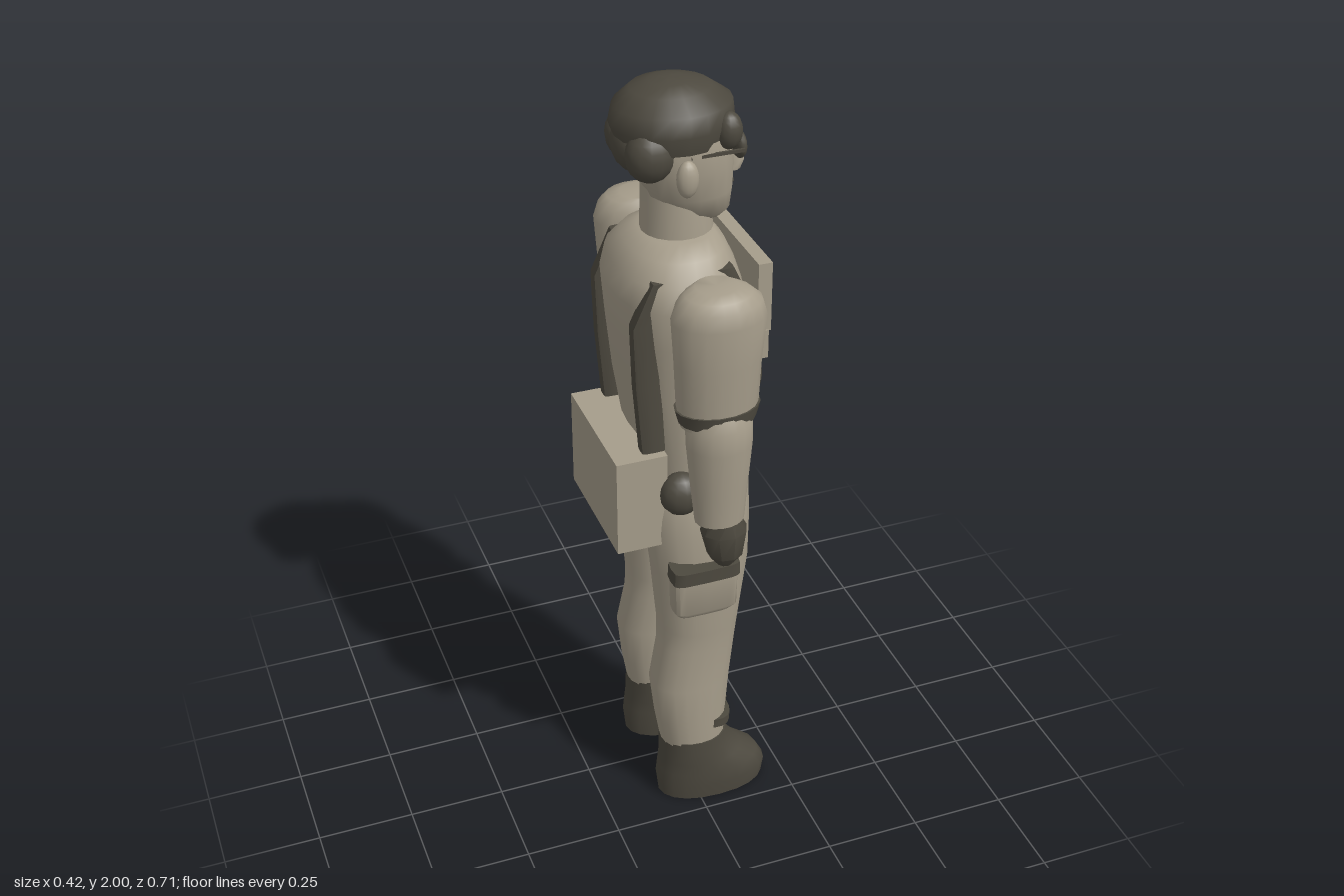
import * as THREE from 'three';
import { toCreasedNormals } from 'three/addons/utils/BufferGeometryUtils.js';

const cloth = new THREE.MeshStandardMaterial({ color: 0xa69d8b });
cloth.name = 'light tan';
const dark = new THREE.MeshStandardMaterial({ color: 0x4d493f });
dark.name = 'dark olive';

// Skin of elliptical sections, bottom to top: [y, xMin, xMax, zMin, zMax]; pow > 2 is boxier
function loft(rows, sides = 18, pow = 2, crease = 0.75) {
  const bend = v => Math.sign(v) * Math.pow(Math.abs(v), 2 / pow);
  const rings = rows.map(([y, x0, x1, z0, z1]) => Array.from({ length: sides }, (_, i) => {
    const a = (i / sides) * Math.PI * 2;
    return [(x0 + x1) / 2 + bend(Math.cos(a)) * (x1 - x0) / 2, y,
      (z0 + z1) / 2 + bend(Math.sin(a)) * (z1 - z0) / 2];
  }));
  const centre = r => [(r[1] + r[2]) / 2, r[0], (r[3] + r[4]) / 2];
  const lo = centre(rows[0]), hi = centre(rows.at(-1)), top = rings.at(-1);
  const pos = [];
  for (let j = 0; j < sides; j++) {
    const k = (j + 1) % sides;
    for (let i = 0; i < rings.length - 1; i++) {
      const [a, b, c, d] = [rings[i][j], rings[i][k], rings[i + 1][j], rings[i + 1][k]];
      pos.push(...a, ...c, ...b, ...b, ...c, ...d);
    }
    pos.push(...lo, ...rings[0][j], ...rings[0][k], ...hi, ...top[k], ...top[j]);
  }
  const g = new THREE.BufferGeometry();
  g.setAttribute('position', new THREE.Float32BufferAttribute(pos, 3));
  return toCreasedNormals(g, crease);
}

export function createModel() {
  const root = new THREE.Group();
  root.name = 'figure';

  const add = (name, geo, mat, x = 0, y = 0, z = 0, parent = root) => {
    const m = new THREE.Mesh(geo, mat);
    m.name = name;
    m.position.set(x, y, z);
    parent.add(m);
    return m;
  };
  const box = (w, h, d) => new THREE.BoxGeometry(w, h, d);
  const ball = (rx, ry, rz, n = 14) => new THREE.SphereGeometry(1, n, 10).scale(rx, ry, rz);
  // Section rows mirrored to either side of the body
  const side = (s, rows) => rows.map(([y, a, b, c, d]) => s > 0 ? [y, a, b, c, d] : [y, a, b, -d, -c]);

  // Torso, pelvis and belt
  add('torso', loft([
    [1.0, -0.11, 0.14, -0.19, 0.19], [1.1, -0.12, 0.13, -0.19, 0.19],
    [1.25, -0.145, 0.14, -0.188, 0.188], [1.4, -0.16, 0.15, -0.2, 0.2],
    [1.5, -0.168, 0.15, -0.205, 0.205], [1.56, -0.155, 0.13, -0.19, 0.19],
    [1.605, -0.12, 0.11, -0.15, 0.15], [1.63, -0.085, 0.09, -0.1, 0.1],
  ], 24, 2.3), cloth);
  add('pelvis', loft([
    [0.85, -0.07, 0.08, -0.06, 0.06], [0.9, -0.11, 0.13, -0.14, 0.14],
    [0.97, -0.12, 0.145, -0.19, 0.19], [1.03, -0.11, 0.15, -0.19, 0.19],
  ], 22, 2.3), cloth);
  add('frontFlap', loft([
    [0.84, 0.04, 0.135, -0.07, 0.07], [0.87, 0.04, 0.155, -0.095, 0.095],
    [1.015, 0.04, 0.165, -0.118, 0.118],
  ], 18, 3.5), cloth);
  add('belt', loft([
    [1.015, -0.11, 0.17, -0.195, 0.195], [1.07, -0.11, 0.17, -0.195, 0.195],
  ], 24, 2.4), dark);
  add('buckle', ball(0.015, 0.025, 0.035), cloth, 0.167, 1.042, 0);

  // Packs on chest and back
  add('chestPanel', box(0.035, 0.18, 0.3), cloth, 0.171, 1.48, 0);
  add('chestPanelLower', box(0.03, 0.075, 0.306), cloth, 0.167, 1.355, 0);
  add('panelSeam', box(0.004, 0.004, 0.27), dark, 0.182, 1.391, 0);
  add('backBox', box(0.13, 0.26, 0.35), cloth, -0.147, 0.98, 0);

  // Neck and head
  add('neck', loft([
    [1.58, -0.085, 0.095, -0.085, 0.085], [1.635, -0.082, 0.092, -0.083, 0.083],
    [1.75, -0.08, 0.07, -0.075, 0.075],
  ]), cloth);
  add('head', loft([
    [1.655, 0.04, 0.11, -0.045, 0.045], [1.68, -0.01, 0.13, -0.075, 0.075],
    [1.73, -0.075, 0.135, -0.098, 0.098], [1.8, -0.095, 0.135, -0.11, 0.11],
    [1.87, -0.11, 0.13, -0.112, 0.112], [1.94, -0.1, 0.11, -0.095, 0.095],
  ], 20, 2.3), cloth);
  add('nose', loft([
    [1.755, 0.115, 0.162, -0.024, 0.024], [1.775, 0.115, 0.172, -0.024, 0.024],
    [1.85, 0.115, 0.14, -0.011, 0.011],
  ], 10), cloth);
  add('mouth', ball(0.008, 0.008, 0.036, 10), dark, 0.132, 1.735, 0);
  add('glassesBridge', box(0.008, 0.008, 0.05), dark, 0.142, 1.845, 0);

  // Hair cap with locks
  add('hair', loft([
    [1.855, -0.135, 0.125, -0.116, 0.116], [1.9, -0.154, 0.14, -0.126, 0.126],
    [1.945, -0.145, 0.135, -0.118, 0.118], [1.98, -0.105, 0.085, -0.085, 0.085],
    [1.995, -0.06, 0.03, -0.045, 0.045], [2.0, -0.03, 0.0, -0.015, 0.015],
  ], 20, 2, 1), dark);
  add('backHair', ball(0.05, 0.06, 0.08), dark, -0.1, 1.85, 0);

  for (const s of [1, -1]) {
    const limb = new THREE.Group();
    limb.name = s > 0 ? 'sidePartsA' : 'sidePartsB';
    root.add(limb);
    const part = (name, geo, mat, x = 0, y = 0, z = 0) => add(name, geo, mat, x, y, z * s, limb);
    const skin = (name, rows, mat, sides, pow) => part(name, loft(side(s, rows), sides, pow), mat);

    // Face sides
    part('ear', ball(0.027, 0.045, 0.02), cloth, -0.012, 1.8, 0.118);
    part('lens', ball(0.016, 0.034, 0.036), dark, 0.136, 1.838, 0.054);
    part('glassesArm', box(0.13, 0.008, 0.006), dark, 0.065, 1.845, 0.107);
    part('backLock', ball(0.06, 0.065, 0.05), dark, -0.083, 1.85, 0.07);
    part('frontLock', ball(0.032, 0.045, 0.03), dark, 0.098, 1.89, 0.088);

    // Arm
    skin('upperArm', [
      [1.25, -0.085, 0.095, 0.2, 0.338], [1.3, -0.095, 0.105, 0.2, 0.342],
      [1.42, -0.1, 0.11, 0.192, 0.35], [1.53, -0.108, 0.12, 0.19, 0.355],
      [1.57, -0.095, 0.108, 0.195, 0.35], [1.59, -0.075, 0.085, 0.205, 0.335],
      [1.6, -0.045, 0.055, 0.21, 0.305],
    ], cloth);
    skin('sleeveBand', [
      [1.262, -0.09, 0.1, 0.198, 0.343], [1.298, -0.1, 0.11, 0.196, 0.346],
    ], dark);
    skin('forearm', [
      [0.985, -0.055, 0.068, 0.242, 0.34], [1.08, -0.065, 0.075, 0.232, 0.348],
      [1.2, -0.075, 0.085, 0.216, 0.358], [1.26, -0.075, 0.085, 0.21, 0.358],
      [1.29, -0.06, 0.07, 0.225, 0.345],
    ], cloth);
    skin('hand', [
      [0.843, 0.005, 0.045, 0.265, 0.305], [0.875, -0.02, 0.07, 0.245, 0.328],
      [0.945, -0.038, 0.08, 0.235, 0.338], [1.0, -0.02, 0.05, 0.25, 0.328],
    ], dark, 9);

    // Leg
    skin('leg', [
      [0.17, -0.085, 0.085, 0.055, 0.212], [0.26, -0.1, 0.088, 0.05, 0.216],
      [0.38, -0.113, 0.1, 0.045, 0.212], [0.5, -0.09, 0.115, 0.038, 0.208],
      [0.56, -0.088, 0.122, 0.032, 0.212], [0.75, -0.105, 0.145, 0.017, 0.226],
      [0.88, -0.12, 0.15, 0.008, 0.222], [0.97, -0.12, 0.15, 0.005, 0.207],
      [1.02, -0.105, 0.14, 0.01, 0.19],
    ], cloth, 20, 2.2);
    skin('shinBand', [
      [0.238, 0.0, 0.094, 0.058, 0.21], [0.264, 0.0, 0.096, 0.058, 0.21],
    ], dark, 18, 2.6);
    skin('boot', [
      [0, -0.095, 0.2, 0.055, 0.215], [0.045, -0.1, 0.206, 0.05, 0.22],
      [0.085, -0.095, 0.185, 0.05, 0.22], [0.12, -0.09, 0.135, 0.052, 0.218],
      [0.16, -0.088, 0.1, 0.05, 0.218], [0.2, -0.086, 0.09, 0.05, 0.216],
    ], dark, 20, 2.2);

    // Thigh pocket
    skin('thighPocket', [
      [0.65, -0.07, 0.065, 0.18, 0.235], [0.67, -0.085, 0.08, 0.18, 0.25],
      [0.78, -0.088, 0.083, 0.18, 0.25],
    ], cloth, 16, 5);
    skin('pocketFlap', [
      [0.765, -0.092, 0.087, 0.18, 0.257], [0.802, -0.09, 0.085, 0.18, 0.257],
    ], dark, 16, 5);

    // Pouches on chest and hip
    part('chestPouch', ball(0.055, 0.08, 0.056, 12), dark, 0.137, 1.25, 0.087);
    part('hipPouch', ball(0.055, 0.058, 0.045, 12), dark, -0.05, 1.0, 0.185);

    // Shoulder straps following the torso
    skin('frontStrap', [
      [1.115, 0.065, 0.13, 0.122, 0.165], [1.3, 0.08, 0.142, 0.125, 0.165],
      [1.46, 0.07, 0.145, 0.125, 0.165], [1.58, 0.03, 0.09, 0.12, 0.16],
    ], dark, 12, 6);
    skin('backStrap', [
      [1.115, -0.14, -0.08, 0.12, 0.16], [1.3, -0.155, -0.09, 0.12, 0.16],
      [1.46, -0.16, -0.09, 0.12, 0.16], [1.57, -0.11, -0.05, 0.12, 0.16],
    ], dark, 12, 6);
  }
  return root;
}
